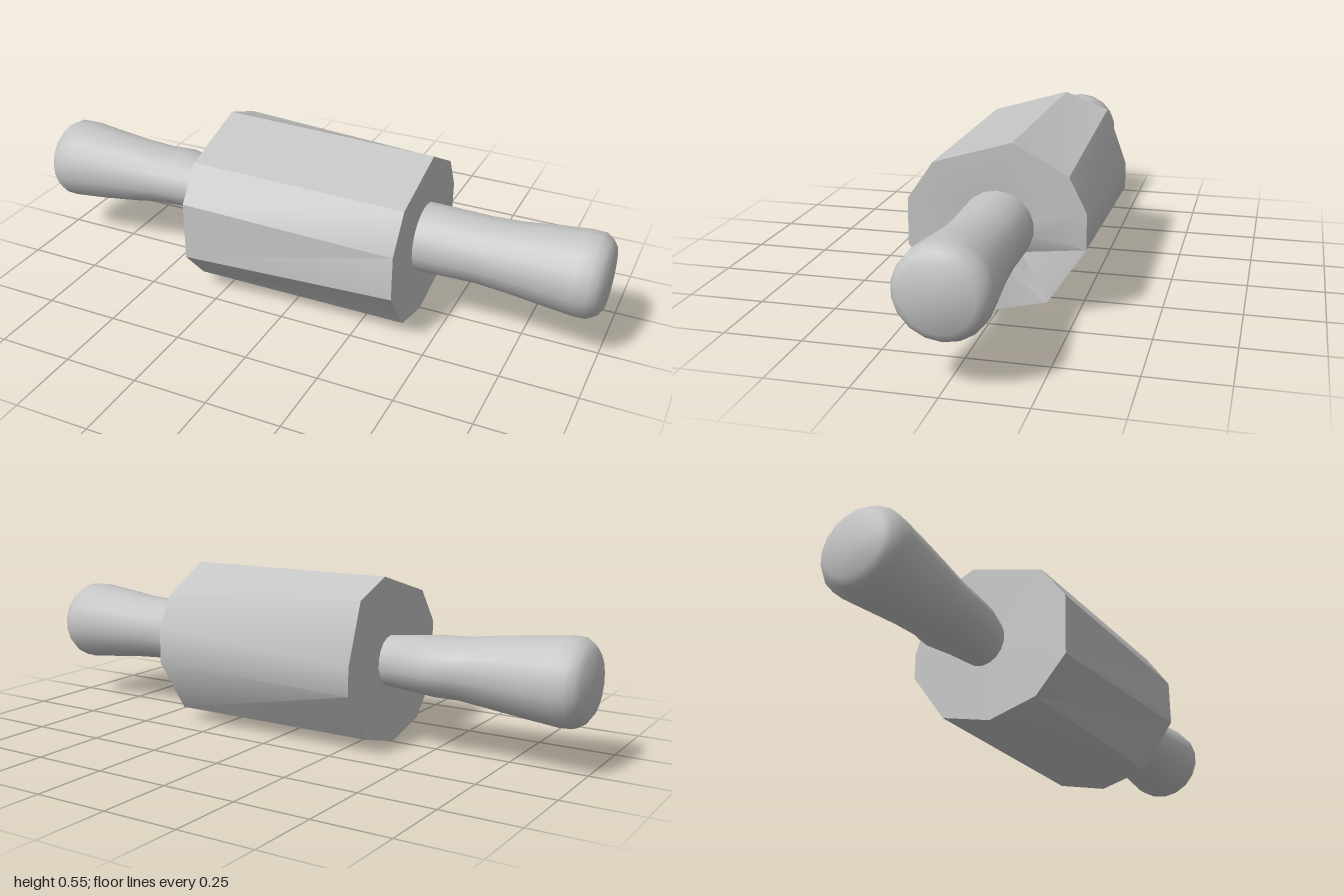
import * as THREE from 'three';
import { toCreasedNormals } from 'three/addons/utils/BufferGeometryUtils.js';

// Skin a list of equal-length rings, running towards +x, each going from the top to +z
function loft(rings, crease) {
  const n = rings[0].length;
  const index = [];
  for (let r = 0; r < rings.length - 1; r++) {
    for (let i = 0; i < n; i++) {
      const a = r * n + i, b = r * n + (i + 1) % n;
      index.push(a, b, a + n, b, b + n, a + n);
    }
  }
  const geometry = new THREE.BufferGeometry();
  geometry.setAttribute('position', new THREE.Float32BufferAttribute(rings.flat(2), 3));
  geometry.setIndex(index);
  return toCreasedNormals(geometry, crease);
}

// Oval ring from its extents in y and z
function oval([x, y0, y1, z0, z1], sides = 18) {
  return Array.from({ length: sides }, (_, i) => {
    const a = i / sides * Math.PI * 2;
    return [x, (y0 + y1) / 2 + Math.cos(a) * (y1 - y0) / 2, (z0 + z1) / 2 + Math.sin(a) * (z1 - z0) / 2];
  });
}

export function createModel() {
  const group = new THREE.Group();
  const grey = new THREE.MeshStandardMaterial({ color: 0xc4c4c4 });
  grey.name = 'plain grey';

  const add = (name, geometry) => {
    const mesh = new THREE.Mesh(geometry, grey);
    mesh.name = name;
    group.add(mesh);
  };

  // Roller: uneven ten-cornered barrel, corners as [z, y] for each end
  const rightEnd = [[-0.065, 0.552], [0.195, 0.475], [0.28, 0.36], [0.28, 0.16], [0.175, 0.043],
    [0.01, 0], [-0.165, 0.045], [-0.285, 0.21], [-0.285, 0.3], [-0.215, 0.495]];
  const leftEnd = [[-0.05, 0.545], [0.2, 0.47], [0.283, 0.35], [0.285, 0.2], [0.17, 0.043],
    [0.01, 0.003], [-0.16, 0.045], [-0.28, 0.225], [-0.28, 0.34], [-0.225, 0.45]];
  const ring = (corners, x, scale) => corners.map(([z, y]) => [x, 0.276 + (y - 0.276) * scale, z * scale]);
  const hub = ring(leftEnd, 0.4, 0.4);
  hub[6][0] = 0.35; // dent in the end face, low at the back
  add('roller', loft([
    ring(rightEnd, -0.34, 0), ring(rightEnd, -0.34, 1),
    ring(leftEnd, 0.4, 1), hub, ring(leftEnd, 0.38, 0),
  ], 0.6));

  // Handles: sections as [x, lowest y, highest y, back z, front z]
  add('leftHandle', loft([
    [0.34, 0.165, 0.395, -0.115, 0.112],
    [0.45, 0.166, 0.392, -0.12, 0.116],
    [0.6, 0.17, 0.388, -0.12, 0.114],
    [0.7, 0.163, 0.393, -0.124, 0.119],
    [0.82, 0.15, 0.408, -0.135, 0.13],
    [0.92, 0.14, 0.418, -0.144, 0.139],
    [0.96, 0.142, 0.416, -0.144, 0.138],
    [0.985, 0.157, 0.4, -0.128, 0.123],
    [1, 0.178, 0.38, -0.108, 0.103],
    [1, 0.279, 0.279, 0, 0],
  ].map((s) => oval(s)), 0.9));

  add('rightHandle', loft([
    [-1, 0.279, 0.279, 0, 0],
    [-1, 0.178, 0.38, -0.108, 0.103],
    [-0.985, 0.157, 0.4, -0.128, 0.123],
    [-0.96, 0.142, 0.416, -0.144, 0.138],
    [-0.92, 0.14, 0.418, -0.144, 0.139],
    [-0.82, 0.15, 0.407, -0.134, 0.128],
    [-0.7, 0.165, 0.393, -0.126, 0.113],
    [-0.6, 0.18, 0.38, -0.132, 0.1],
    [-0.52, 0.183, 0.377, -0.147, 0.096],
    [-0.43, 0.187, 0.367, -0.119, 0.088],
    [-0.34, 0.191, 0.358, -0.098, 0.06],
    [-0.3, 0.191, 0.358, -0.095, 0.06],
  ].map((s) => oval(s)), 0.9));

  return group;
}
